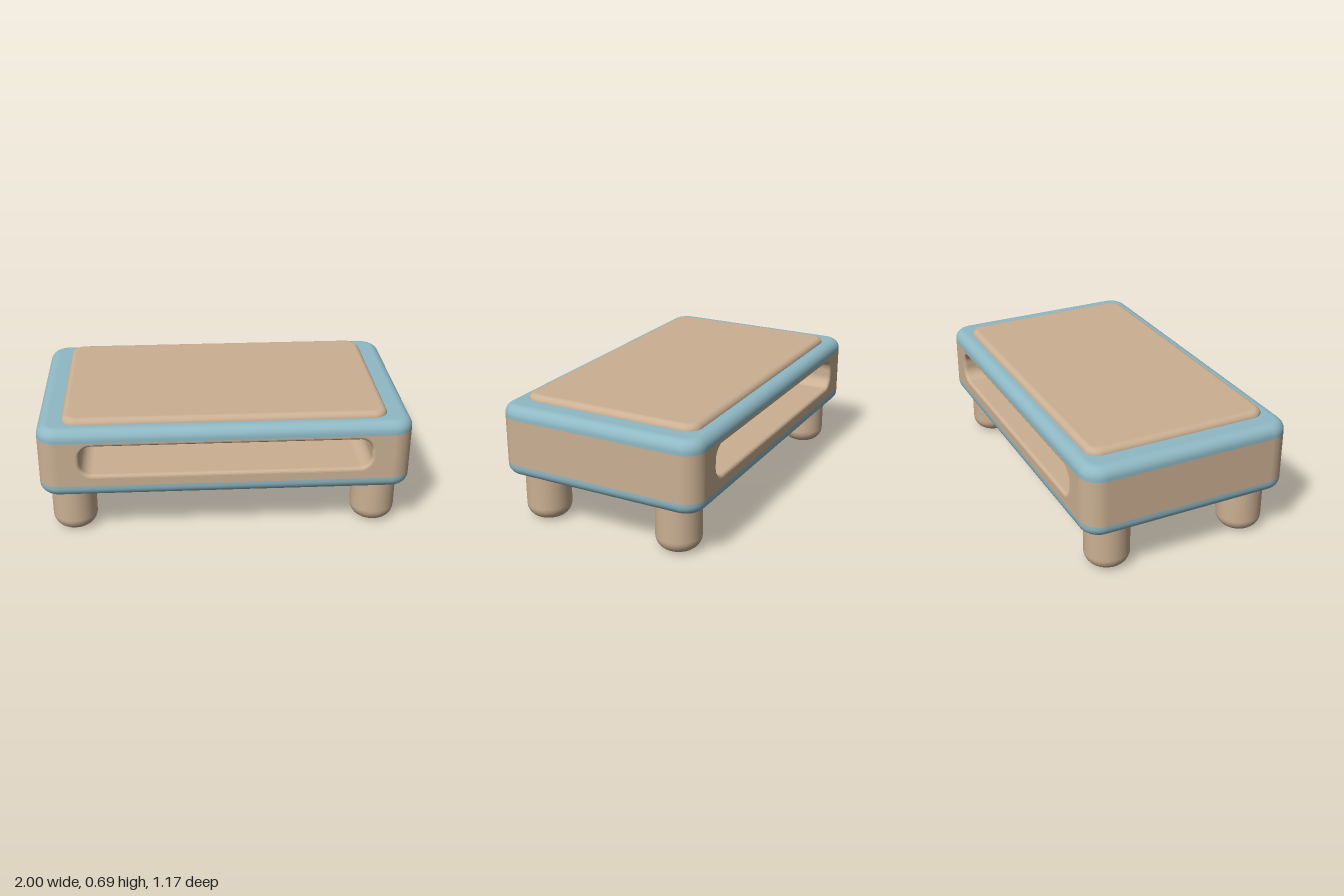
import * as THREE from 'three';

const tan = new THREE.MeshStandardMaterial({ name: 'warm tan', color: 0xcbb093 });
const blue = new THREE.MeshStandardMaterial({ name: 'soft blue', color: 0x8fb9c5 });
const dark = new THREE.MeshStandardMaterial({ name: 'dark grey green', color: 0x636c65 });

const W = 2, D = 1.17, CORNER = 0.11;

function part(name, geometry, material) {
  const mesh = new THREE.Mesh(geometry, material);
  mesh.name = name;
  return mesh;
}

// Rounded rectangle between two corners
function roundRect(path, x0, y0, x1, y1, r) {
  path.moveTo(x0 + r, y0);
  path.lineTo(x1 - r, y0).absarc(x1 - r, y0 + r, r, -Math.PI / 2, 0, false);
  path.lineTo(x1, y1 - r).absarc(x1 - r, y1 - r, r, 0, Math.PI / 2, false);
  path.lineTo(x0 + r, y1).absarc(x0 + r, y1 - r, r, Math.PI / 2, Math.PI, false);
  path.lineTo(x0, y0 + r).absarc(x0 + r, y0 + r, r, Math.PI, Math.PI * 1.5, false);
  return path;
}

// Slab with rounded plan corners, lofted through [inset, y] rings from bottom to top
function slab(w, d, r, profile, capBottom, capTop) {
  const pos = [], index = [], steps = 10, n = 4 * (steps + 1);
  const ring = ([inset, y]) => {
    const q = r - inset;
    for (let c = 0; c < 4; c++) {
      const sx = c === 0 || c === 3 ? 1 : -1, sz = c < 2 ? 1 : -1;
      for (let i = 0; i <= steps; i++) {
        const a = (c + i / steps) * Math.PI / 2;
        pos.push(sx * (w / 2 - r) + q * Math.cos(a), y, sz * (d / 2 - r) + q * Math.sin(a));
      }
    }
  };
  profile.forEach(ring);
  for (let k = 0; k < profile.length - 1; k++) {
    for (let i = 0; i < n; i++) {
      const a = k * n + i, b = k * n + (i + 1) % n;
      index.push(a, a + n, b, b, a + n, b + n);
    }
  }
  const cap = (p, up) => {
    const base = pos.length / 3;
    ring(p);
    pos.push(0, p[1], 0);
    for (let i = 0; i < n; i++) {
      const a = base + i, b = base + (i + 1) % n;
      index.push(base + n, up ? b : a, up ? a : b);
    }
  };
  if (capBottom) cap(profile[0], false);
  if (capTop) cap(profile[profile.length - 1], true);
  const g = new THREE.BufferGeometry();
  g.setAttribute('position', new THREE.Float32BufferAttribute(pos, 3));
  g.setIndex(index);
  g.computeVertexNormals();
  return g;
}

// Quarter-round edge leading from a vertical side up to a flat top
function edgeUp(yBase, yTop, r) {
  const pts = [[0, yBase]];
  for (let i = 0; i <= 8; i++) {
    const a = i / 8 * Math.PI / 2;
    pts.push([r * (1 - Math.cos(a)), yTop - r + r * Math.sin(a)]);
  }
  return pts;
}

export function createModel() {
  const model = new THREE.Group();

  // Blue bands above and below the body
  const topEdge = edgeUp(0.585, 0.655, 0.055);
  const lowEdge = topEdge.map(([inset, y]) => [inset, 0.262 + 0.655 - y]).reverse();
  lowEdge[lowEdge.length - 1][1] = 0.33;
  model.add(part('topBand', slab(W, D, CORNER, topEdge, false, true), blue));
  model.add(part('bottomBand', slab(W, D, CORNER, lowEdge, true, false), blue));

  // Raised top panel
  model.add(part('topPanel', slab(1.74, 1.02, 0.08, edgeUp(0.64, 0.685, 0.035), false, true), tan));

  // Body with the slot running from front to back, soft slot rims
  const bevel = 0.018;
  const front = new THREE.Shape([[-0.87, 0.33], [0.87, 0.33], [0.87, 0.585], [-0.87, 0.585]]
    .map(([x, y]) => new THREE.Vector2(x, y)));
  front.holes.push(roundRect(new THREE.Path(), -0.795, 0.375, 0.795, 0.58, 0.085));
  const body = new THREE.ExtrudeGeometry(front, {
    depth: D - 2 * bevel, bevelEnabled: true, bevelSize: bevel, bevelThickness: bevel,
    bevelSegments: 4, curveSegments: 10,
  });
  body.translate(0, 0, -D / 2 + bevel);
  model.add(part('slottedBody', body, tan));

  // Rounded ends of the body
  for (const side of [1, -1]) {
    const plan = new THREE.Shape();
    const r = CORNER, h = D / 2;
    plan.moveTo(0.87, -h);
    plan.lineTo(1 - r, -h).absarc(1 - r, -h + r, r, -Math.PI / 2, 0, false);
    plan.lineTo(1, h - r).absarc(1 - r, h - r, r, 0, Math.PI / 2, false);
    plan.lineTo(0.87, h);
    const end = new THREE.ExtrudeGeometry(plan, { depth: 0.255, bevelEnabled: false, curveSegments: 12 });
    end.rotateX(-Math.PI / 2);
    const mesh = part(side > 0 ? 'leftEnd' : 'rightEnd', end, tan);
    mesh.position.y = 0.33;
    if (side < 0) mesh.rotation.y = Math.PI;
    model.add(mesh);
  }

  // Dark underside with wavy tan strips at both ends
  const under = new THREE.ShapeGeometry(roundRect(new THREE.Shape(), -0.95, -0.535, 0.95, 0.535, 0.06));
  under.rotateX(Math.PI / 2);
  const underside = part('underside', under, dark);
  underside.position.y = 0.26;
  model.add(underside);
  const waves = { 1: [0.62, 0.68, 0.7, 0.66, 0.6], '-1': [0.74, 0.78, 0.8, 0.76, 0.64] };
  for (const side of [1, -1]) {
    const edge = waves[side].map((x, i) => new THREE.Vector2(side * x, -0.5 + i * 0.25));
    const strip = new THREE.Shape();
    strip.moveTo(side * 0.94, -0.5);
    strip.lineTo(edge[0].x, edge[0].y);
    strip.splineThru(edge.slice(1));
    strip.lineTo(side * 0.94, 0.5);
    const g = new THREE.ShapeGeometry(strip);
    g.rotateX(Math.PI / 2);
    const mesh = part(side > 0 ? 'leftUnderStrip' : 'rightUnderStrip', g, tan);
    mesh.position.y = 0.257;
    model.add(mesh);
  }

  // Four stubby legs with rounded feet
  const R = 0.122, foot = 0.075;
  const profile = [new THREE.Vector2(0, 0)];
  for (let i = 0; i <= 8; i++) {
    const a = i / 8 * Math.PI / 2;
    profile.push(new THREE.Vector2(R - foot + foot * Math.sin(a), foot - foot * Math.cos(a)));
  }
  profile.push(new THREE.Vector2(R, 0.3));
  const legGeometry = new THREE.LatheGeometry(profile, 32);
  for (const x of [1, -1]) {
    for (const z of [1, -1]) {
      const leg = part((z > 0 ? 'front' : 'back') + (x > 0 ? 'Left' : 'Right') + 'Leg', legGeometry, tan);
      leg.position.set(x * 0.83, 0, z * 0.4);
      model.add(leg);
    }
  }
  return model;
}
